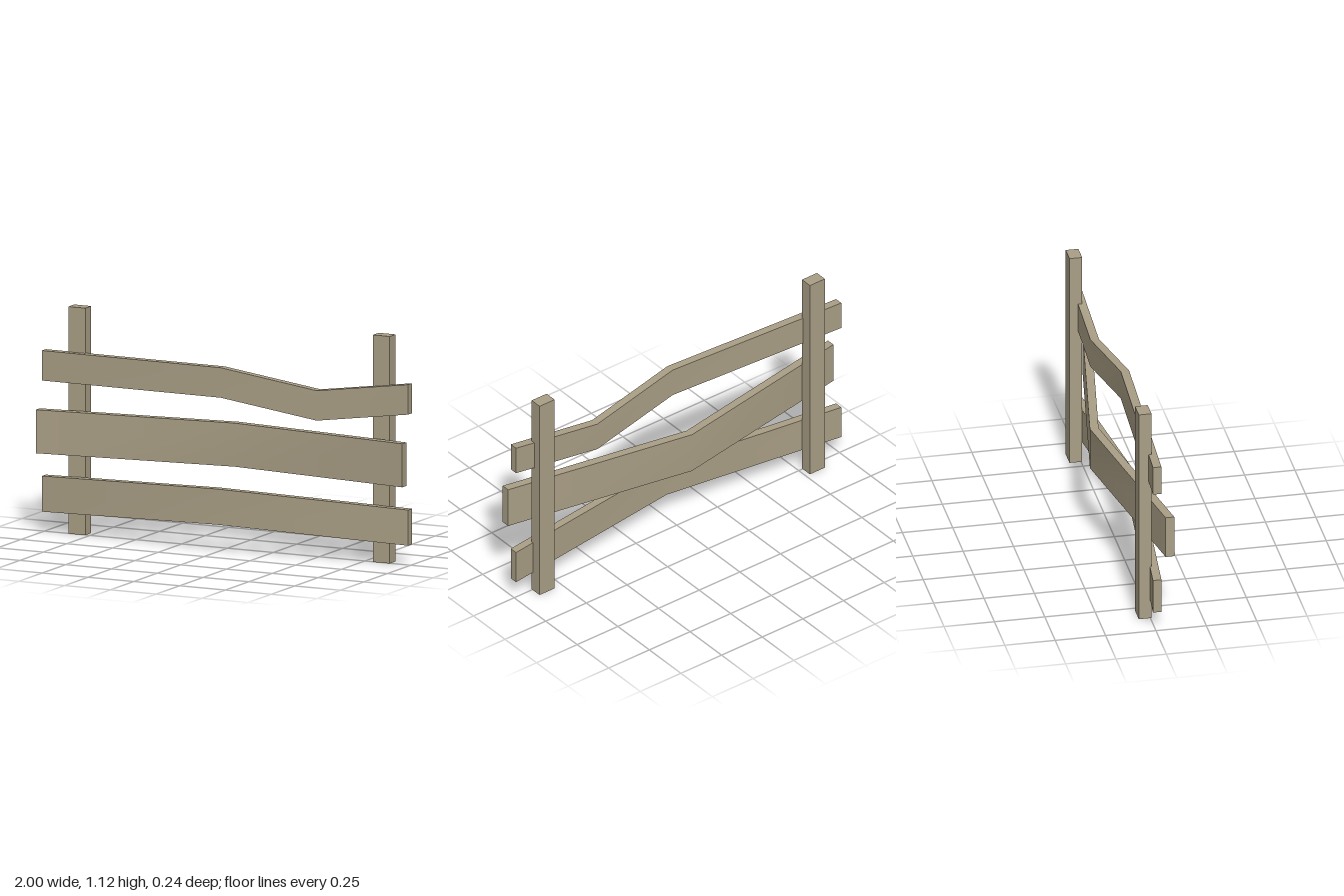
import * as THREE from 'three';

const wood = new THREE.MeshStandardMaterial({ color: 0xaa9f86 });
wood.name = 'weathered wood';

// Bent plank: rectangular sections [x, bottom y, back z] swept along x,
// smooth along its length and sharp at its four long edges
function plank(name, height, depth, stations) {
  const positions = [], index = [];
  const rings = stations.map(([x, y, z]) => [
    [x, y, z], [x, y, z + depth], [x, y + height, z + depth], [x, y + height, z],
  ]);
  // four long sides
  for (let k = 0; k < 4; k++) {
    const base = positions.length / 3;
    rings.forEach((r) => positions.push(...r[k], ...r[(k + 1) % 4]));
    for (let i = 0; i < rings.length - 1; i++) {
      const a = base + i * 2;
      index.push(a, a + 2, a + 3, a, a + 3, a + 1);
    }
  }
  // end caps
  for (const ring of [rings[0], [...rings[rings.length - 1]].reverse()]) {
    const a = positions.length / 3;
    ring.forEach((p) => positions.push(...p));
    index.push(a, a + 1, a + 2, a, a + 2, a + 3);
  }
  const geometry = new THREE.BufferGeometry();
  geometry.setAttribute('position', new THREE.Float32BufferAttribute(positions, 3));
  geometry.setIndex(index);
  geometry.computeVertexNormals();
  const mesh = new THREE.Mesh(geometry, wood);
  mesh.name = name;
  return mesh;
}

export function createModel() {
  const fence = new THREE.Group();
  fence.name = 'fence';

  // upright posts
  for (const [name, x] of [['rightPost', -0.82], ['leftPost', 0.842]]) {
    const post = new THREE.Mesh(new THREE.BoxGeometry(0.092, 1.122, 0.063), wood);
    post.name = name;
    post.position.set(x, 0.561, -0.026);
    fence.add(post);
  }

  // crooked rails
  fence.add(
    plank('bottomRail', 0.176, 0.042, [[-1, 0.101, -0.015], [0, 0.137, 0.08], [1, 0.101, -0.015]]),
    plank('middleRail', 0.215, 0.043, [[-1, 0.4, 0.048], [0, 0.39, -0.121], [1, 0.4, 0.048]]),
    plank('topRail', 0.148, 0.042, [
      [-1, 0.749, -0.015], [0, 0.756, 0.032], [0.5, 0.677, -0.015], [1, 0.749, -0.015],
    ]),
  );
  return fence;
}
